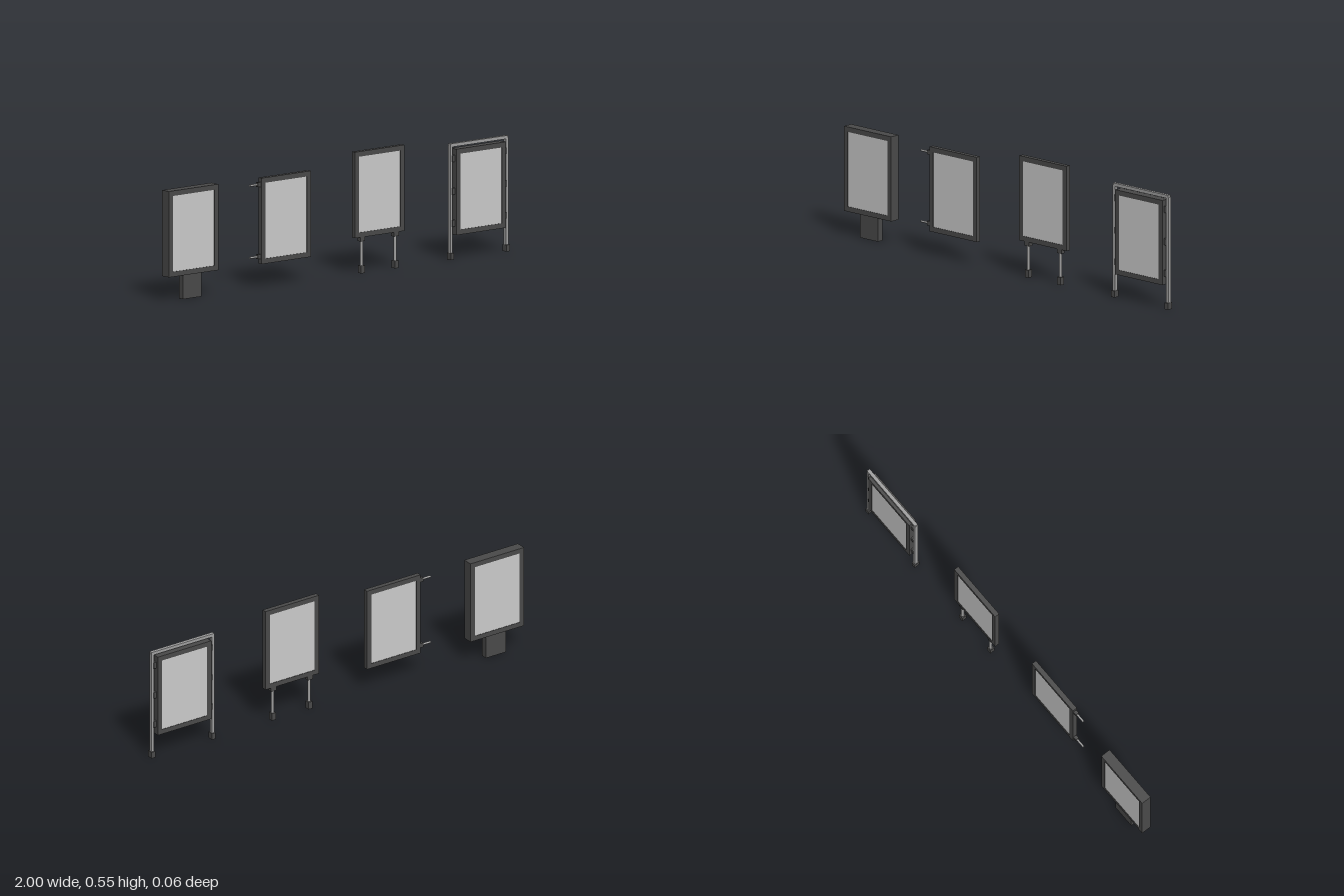
import * as THREE from 'three';

const dark = new THREE.MeshStandardMaterial({ color: 0x4a4a4a });
const metal = new THREE.MeshStandardMaterial({ color: 0xa0a0a0 });
const pale = new THREE.MeshStandardMaterial({ color: 0xcccccc });

function add(parent, name, geometry, material, x, y, z) {
  const mesh = new THREE.Mesh(geometry, material);
  mesh.name = name;
  mesh.position.set(x, y, z);
  parent.add(mesh);
  return mesh;
}

// Box given by its lower and upper limits on each axis
function box(parent, name, material, [x0, x1], [y0, y1], [z0, z1]) {
  return add(parent, name, new THREE.BoxGeometry(x1 - x0, y1 - y0, z1 - z0), material,
    (x0 + x1) / 2, (y0 + y1) / 2, (z0 + z1) / 2);
}

function rectangle(path, w, h) {
  return path.moveTo(-w / 2, -h / 2).lineTo(w / 2, -h / 2).lineTo(w / 2, h / 2).lineTo(-w / 2, h / 2).closePath();
}

// Display case: a hollow frame with a slightly recessed panel showing on both sides
function display(parent, x, y0, zMid, depth) {
  const w = 0.29, h = 0.39, border = 0.023, recess = 0.002;
  const shape = rectangle(new THREE.Shape(), w, h);
  shape.holes.push(rectangle(new THREE.Path(), w - 2 * border, h - 2 * border));
  const frame = new THREE.ExtrudeGeometry(shape, { depth, bevelEnabled: false });
  add(parent, 'frame', frame, dark, x, y0 + h / 2, zMid - depth / 2);
  add(parent, 'panel', new THREE.BoxGeometry(w - 2 * border, h - 2 * border, depth - 2 * recess),
    pale, x, y0 + h / 2, zMid);
}

function sign(parent, name) {
  const group = new THREE.Group();
  group.name = name;
  parent.add(group);
  return group;
}

export function createModel() {
  const model = new THREE.Group();
  model.name = 'signBoards';

  // Deep display on one wide pedestal
  const pedestalSign = sign(model, 'pedestalSign');
  display(pedestalSign, -0.855, 0.11, -0.008, 0.048);
  box(pedestalSign, 'pedestal', dark, [-0.91, -0.80], [0, 0.112], [-0.022, 0.007]);

  // Thin display held from the side by two arms
  const wallSign = sign(model, 'wallSign');
  display(wallSign, -0.319, 0.11, 0.016, 0.023);
  for (const y of [0.144, 0.471]) {
    const arm = add(wallSign, 'arm', new THREE.CylinderGeometry(0.005, 0.005, 0.055, 12), metal, -0.4975, y, 0.016);
    arm.rotation.z = Math.PI / 2;
    box(wallSign, 'armBracket', dark, [-0.482, -0.463], [y - 0.01, y + 0.01], [0.008, 0.024]);
  }

  // Thin display raised on two legs
  const leggedSign = sign(model, 'leggedSign');
  display(leggedSign, 0.232, 0.164, 0.016, 0.023);
  for (const x of [0.133, 0.331]) {
    add(leggedSign, 'leg', new THREE.CylinderGeometry(0.007, 0.007, 0.14, 16), metal, x, 0.09, 0.016);
    box(leggedSign, 'legBracket', dark, [x - 0.014, x + 0.014], [0.145, 0.166], [0.006, 0.026]);
    box(leggedSign, 'foot', dark, [x - 0.011, x + 0.011], [0, 0.035], [0.005, 0.028]);
  }

  // Display hung inside a tall gantry
  const gantrySign = sign(model, 'gantrySign');
  const mid = 0.825, z = 0.012;
  display(gantrySign, mid, 0.11, z, 0.04);
  box(gantrySign, 'topBar', metal, [0.655, 0.995], [0.51, 0.525], [z - 0.008, z + 0.008]);
  for (const side of [-1, 1]) {
    const x = mid + side * 0.164;
    box(gantrySign, 'post', metal, [x - 0.007, x + 0.007], [0.02, 0.515], [z - 0.008, z + 0.008]);
    box(gantrySign, 'foot', dark, [x - 0.01, x + 0.01], [0, 0.03], [z - 0.013, z + 0.015]);
    for (const y of [0.163, 0.308, 0.457]) {
      const bx = mid + side * 0.151;
      box(gantrySign, 'sideBracket', dark, [bx - 0.009, bx + 0.009], [y - 0.015, y + 0.015], [z - 0.01, z + 0.01]);
    }
  }
  return model;
}
